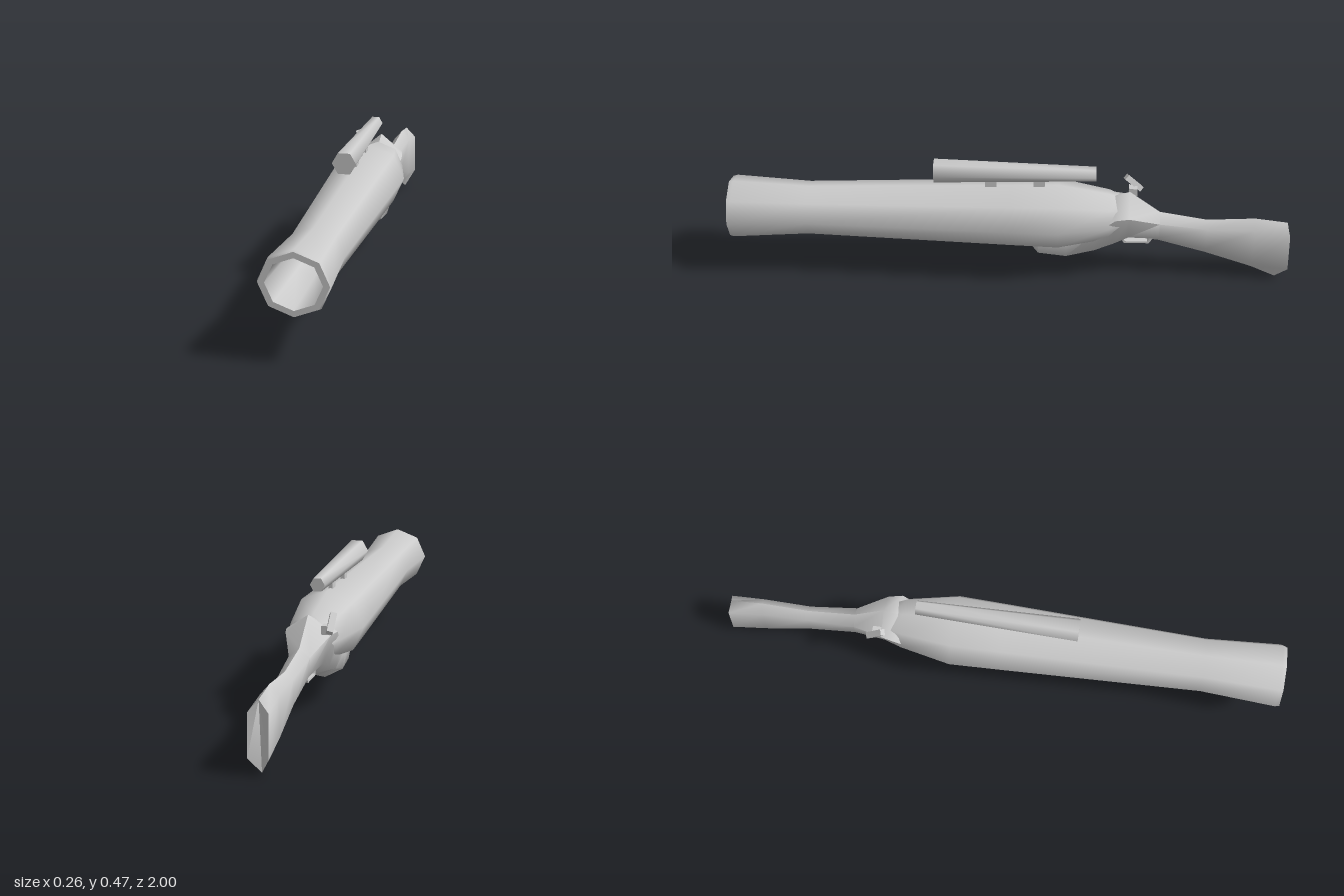
import * as THREE from 'three';
import { toCreasedNormals } from 'three/addons/utils/BufferGeometryUtils.js';

const grey = new THREE.MeshStandardMaterial({ color: 0xcccccc });

function add(group, name, geometry, x = 0, y = 0, z = 0) {
  const mesh = new THREE.Mesh(geometry, grey);
  mesh.name = name;
  mesh.position.set(x, y, z);
  group.add(mesh);
  return mesh;
}

// Hexagonal cross-sections, pointed at top and bottom:
// [z, top, upper, lower, bottom, upper half-width, lower half-width]
const sections = [
  [-0.07, 0.25, 0.22, 0.165, 0.15, 0.06, 0.05],
  [-0.10, 0.28, 0.20, 0.13, 0.097, 0.073, 0.06],
  [-0.20, 0.30, 0.20, 0.12, 0.085, 0.075, 0.063],
  [-0.30, 0.32, 0.24, 0.15, 0.12, 0.082, 0.064],
  [-0.37, 0.345, 0.30, 0.18, 0.145, 0.089, 0.06],
  [-0.42, 0.365, 0.30, 0.20, 0.168, 0.078, 0.05],
  [-0.53, 0.28, 0.25, 0.185, 0.155, 0.036, 0.032],
  [-0.70, 0.25, 0.225, 0.14, 0.105, 0.027, 0.027],
  [-0.87, 0.26, 0.225, 0.085, 0.045, 0.03, 0.03],
  [-0.98, 0.245, 0.205, 0.06, 0.003, 0.034, 0.034],
];

function stockGeometry() {
  const pos = [], idx = [], n = 6, last = sections.length - 1;
  sections.forEach(([z, t, u, l, b, wu, wl], i) => {
    // the butt plate bulges backwards in the middle and tucks in at the toe
    const dz = i === last ? [-0.005, -0.015, -0.02, 0.02, -0.02, -0.015] : [0, 0, 0, 0, 0, 0];
    [[0, t], [wu, u], [wl, l], [0, b], [-wl, l], [-wu, u]].forEach(([x, y], j) => pos.push(x, y, z + dz[j]));
  });
  for (let i = 0; i < last; i++) {
    for (let j = 0; j < n; j++) {
      const a = i * n + j, b = i * n + (j + 1) % n;
      idx.push(a, b, a + n, b, b + n, a + n);
    }
  }
  const e = last * n;
  for (let j = 1; j < n - 1; j++) idx.push(0, j + 1, j, e, e + j, e + j + 1);
  const g = new THREE.BufferGeometry();
  g.setAttribute('position', new THREE.Float32BufferAttribute(pos, 3));
  g.setIndex(idx);
  return toCreasedNormals(g, 1.0);
}

export function createModel() {
  const model = new THREE.Group();
  model.name = 'scopedLongGun';

  // Eight-sided barrel with an open bore
  const profile = [
    [0, -0.40], [0.07, -0.39], [0.086, -0.35], [0.121, -0.17], [0.116, 0],
    [0.092, 0.72], [0.108, 0.985], [0.104, 1], [0.084, 1],
    [0.074, 0.72], [0.07, 0.4], [0.04, 0.32], [0, 0.3],
  ].map(([r, z]) => new THREE.Vector2(r, z));
  const barrel = new THREE.LatheGeometry(profile, 8);
  barrel.rotateX(Math.PI / 2);
  const barrelMesh = add(model, 'barrel', toCreasedNormals(barrel, 0.9), 0, 0.266, 0);
  barrelMesh.scale.x = 1.08;

  // Receiver and shoulder stock in one sweep
  add(model, 'stock', stockGeometry());

  // Tapered six-sided scope on two mounts
  const scope = new THREE.CylinderGeometry(0.042, 0.026, 0.57, 6, 1, false, Math.PI / 6);
  scope.rotateX(Math.PI / 2);
  add(model, 'scope', toCreasedNormals(scope, 1.1), 0, 0.438, -0.015);
  for (const z of [0.07, -0.1]) {
    add(model, 'scopeMount', new THREE.BoxGeometry(0.014, 0.06, 0.04), 0, 0.392, z);
  }

  // Side lever on the right of the receiver
  const lever = new THREE.Group();
  lever.name = 'lever';
  lever.position.set(-0.08, 0.335, -0.44);
  add(lever, 'leverBase', new THREE.BoxGeometry(0.03, 0.03, 0.03), 0.012, -0.012, 0.005);
  const arm = add(lever, 'leverArm', new THREE.BoxGeometry(0.022, 0.02, 0.075), -0.004, 0.01, 0.004);
  arm.rotation.set(-0.75, 0, 0.4);
  model.add(lever);

  // Trigger guard: a bent strip below the receiver
  const s = new THREE.Shape();
  [[0.39, 0.19], [0.405, 0.153], [0.495, 0.153], [0.52, 0.19], [0.51, 0.19], [0.49, 0.16], [0.41, 0.16], [0.40, 0.19]]
    .forEach(([z, y], i) => (i ? s.lineTo(z, y) : s.moveTo(z, y)));
  const guard = new THREE.ExtrudeGeometry(s, { depth: 0.04, bevelEnabled: false });
  guard.translate(0, 0, -0.02);
  guard.rotateY(Math.PI / 2);
  add(model, 'triggerGuard', guard);

  return model;
}
